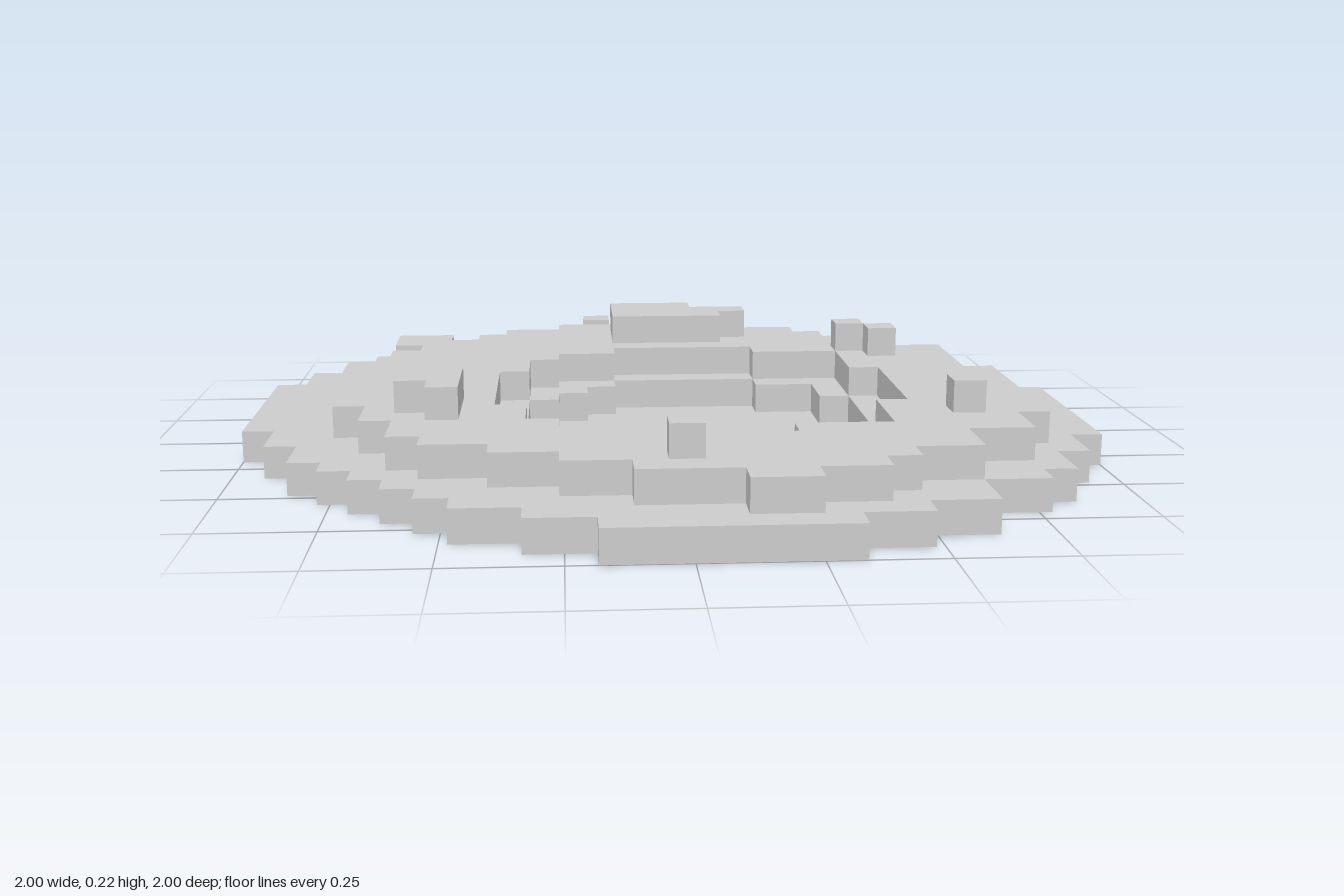
import * as THREE from 'three';

const N = 27;          // cells per side
const U = 2 / N;       // cell size, also the height of one step

// Base disc: first cell of each row; the last cell follows by half-turn symmetry
const baseStart = [9, 7, 5, 5, 3, 2, 2, 1, 1, 0, 0, 0, 0, 0, 0, 0, 1, 1, 2, 2, 3, 4, 5, 6, 7, 9, 11];

// Other regions: [firstRow, lastRow, startCell, endCell]
const plateau = [
  [3, 3, 10, 17], [4, 4, 8, 19], [5, 5, 4, 6], [5, 5, 7, 20], [6, 6, 4, 21], [7, 7, 5, 22],
  [8, 9, 4, 24], [10, 11, 3, 24], [12, 16, 3, 25], [17, 18, 4, 25], [19, 20, 5, 24],
  [21, 21, 6, 22], [22, 22, 8, 22], [23, 23, 10, 20], [24, 24, 12, 19], [25, 25, 15, 17],
];
const backStuds = [[1, 1, 11, 12], [1, 1, 14, 15]];
const craterLedge = [
  [8, 8, 12, 17], [9, 9, 10, 20], [10, 11, 9, 20], [12, 16, 8, 21],
  [17, 18, 9, 20], [19, 19, 10, 20], [20, 20, 12, 17],
];
const craterFloor = [
  [9, 9, 12, 17], [10, 10, 11, 19], [11, 11, 10, 19], [12, 16, 9, 20],
  [17, 17, 10, 19], [18, 18, 11, 18], [19, 19, 12, 17],
];
const bumps = [
  [4, 4, 12, 15], [5, 5, 12, 17], [6, 6, 12, 16],   // back block
  [16, 17, 5, 7], [18, 18, 6, 7],                   // right block
  [8, 8, 20, 21], [9, 9, 21, 22], [18, 18, 22, 23], [23, 23, 13, 14],
];

function buildHeights() {
  const h = Array.from({ length: N }, () => new Array(N).fill(0));
  const paint = (spans, level) => {
    for (const [r0, r1, c0, c1] of spans)
      for (let r = r0; r <= r1; r++) h[r].fill(level, c0, c1);
  };
  paint(baseStart.map((s, r) => [r, r, s, N - baseStart[N - 1 - r]]), 1);
  paint(plateau, 2);
  paint(backStuds, 2);
  paint(craterLedge, 1);
  paint(craterFloor, 0);
  paint(bumps, 3);
  return h;
}

// Open shell of one step: treads at this level plus the walls just below it
function stepGeometry(h, level) {
  const pos = [];
  const at = (r, c) => h[r]?.[c] ?? 0;
  const quad = (a, b, c, d) => pos.push(...a, ...b, ...c, ...a, ...c, ...d);
  const y = level * U, y0 = y - U;
  // wall from (xa, za) to (xb, zb), seen with a on the left
  const wall = (xa, za, xb, zb) => quad([xa, y0, za], [xb, y0, zb], [xb, y, zb], [xa, y, za]);
  for (let r = 0; r < N; r++) {
    for (let c = 0; c < N; c++) {
      if (h[r][c] < level) continue;
      const x = -1 + c * U, z = -1 + r * U, x1 = x + U, z1 = z + U;
      if (h[r][c] === level) quad([x, y, z1], [x1, y, z1], [x1, y, z], [x, y, z]);
      if (at(r + 1, c) < level) wall(x, z1, x1, z1);
      if (at(r - 1, c) < level) wall(x1, z, x, z);
      if (at(r, c + 1) < level) wall(x1, z1, x1, z);
      if (at(r, c - 1) < level) wall(x, z, x, z1);
    }
  }
  const g = new THREE.BufferGeometry();
  g.setAttribute('position', new THREE.Float32BufferAttribute(pos, 3));
  g.computeVertexNormals();
  return g;
}

export function createModel() {
  const group = new THREE.Group();
  const material = new THREE.MeshStandardMaterial({
    color: 0xcccccc, flatShading: true, side: THREE.DoubleSide,
  });
  const add = (name, geometry) => {
    const mesh = new THREE.Mesh(geometry, material);
    mesh.name = name;
    group.add(mesh);
    return mesh;
  };

  // Three stepped layers, hollow underneath
  const h = buildHeights();
  ['baseTier', 'plateauTier', 'topBumps'].forEach((name, i) => add(name, stepGeometry(h, i + 1)));

  // Square sheet closing the bottom of the crater
  const floor = add('craterFloor', new THREE.PlaneGeometry(11 * U, 11 * U).rotateX(-Math.PI / 2));
  floor.position.set(U, 0, U);

  return group;
}
